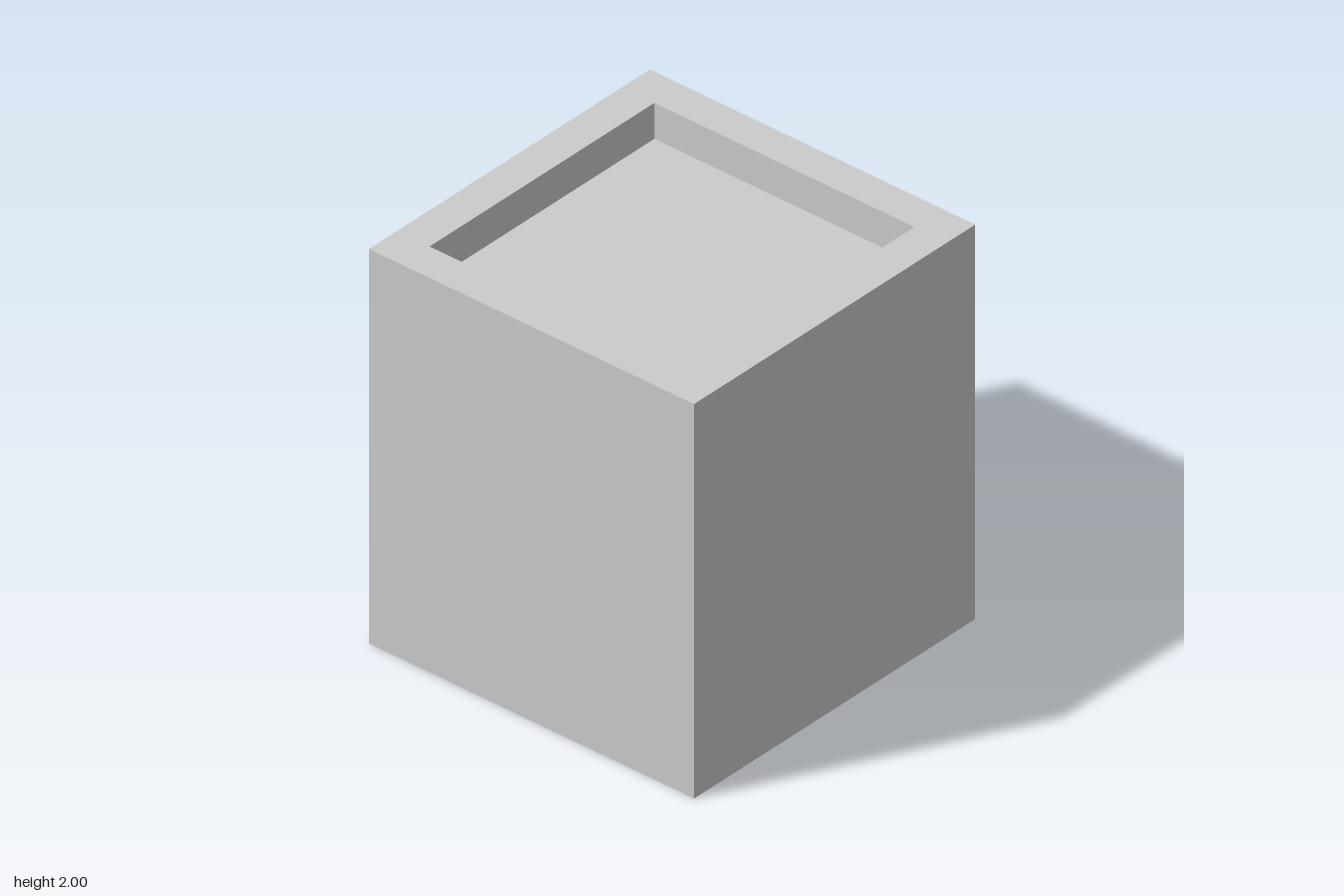
import * as THREE from 'three';

const SIZE = 1.818; // edge of the cube-shaped body
const RIM = 0.182; // height and width of the raised border

// Counter-clockwise square outline centred on the origin
function square(PathType, size) {
  const h = size / 2;
  return new PathType([[-h, -h], [h, -h], [h, h], [-h, h]].map(([x, y]) => new THREE.Vector2(x, y)));
}

export function createModel() {
  const group = new THREE.Group();
  const material = new THREE.MeshStandardMaterial({ color: 0xcccccc, flatShading: true });

  // Solid cube; its top is the floor of the recess
  const body = new THREE.Mesh(new THREE.BoxGeometry(SIZE, SIZE, SIZE), material);
  body.name = 'body';
  body.position.y = SIZE / 2;
  group.add(body);

  // Square frame standing on the body's top edge
  const outline = square(THREE.Shape, SIZE);
  outline.holes.push(square(THREE.Path, SIZE - 2 * RIM));
  const frame = new THREE.ExtrudeGeometry(outline, { depth: RIM, bevelEnabled: false });
  frame.rotateX(-Math.PI / 2);
  const rim = new THREE.Mesh(frame, material);
  rim.name = 'topRim';
  rim.position.y = SIZE;
  group.add(rim);

  return group;
}
